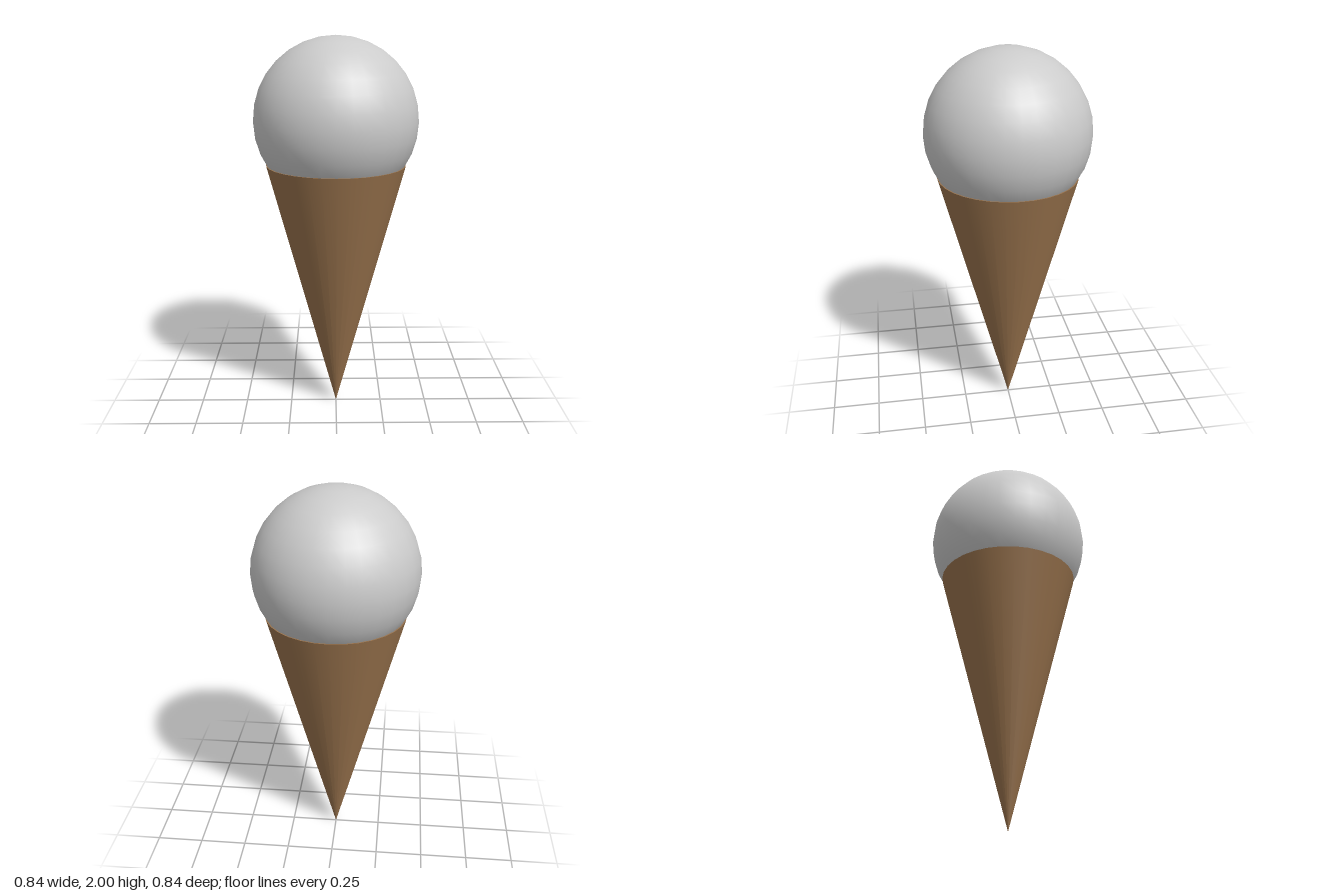
import * as THREE from 'three';

export function createModel() {
  const group = new THREE.Group();

  const add = (name, geometry, color, y) => {
    const mesh = new THREE.Mesh(geometry, new THREE.MeshStandardMaterial({ color }));
    mesh.name = name;
    mesh.position.y = y;
    group.add(mesh);
    return mesh;
  };

  // Wafer cone, standing on its tip
  const coneHeight = 1.355;
  const cone = add('cone', new THREE.ConeGeometry(0.36, coneHeight, 32), 0x99734d, coneHeight / 2);
  cone.rotation.x = Math.PI;

  // Round scoop sunk into the rim
  add('scoop', new THREE.SphereGeometry(0.42, 32, 16), 0xcccccc, 1.58);

  return group;
}
